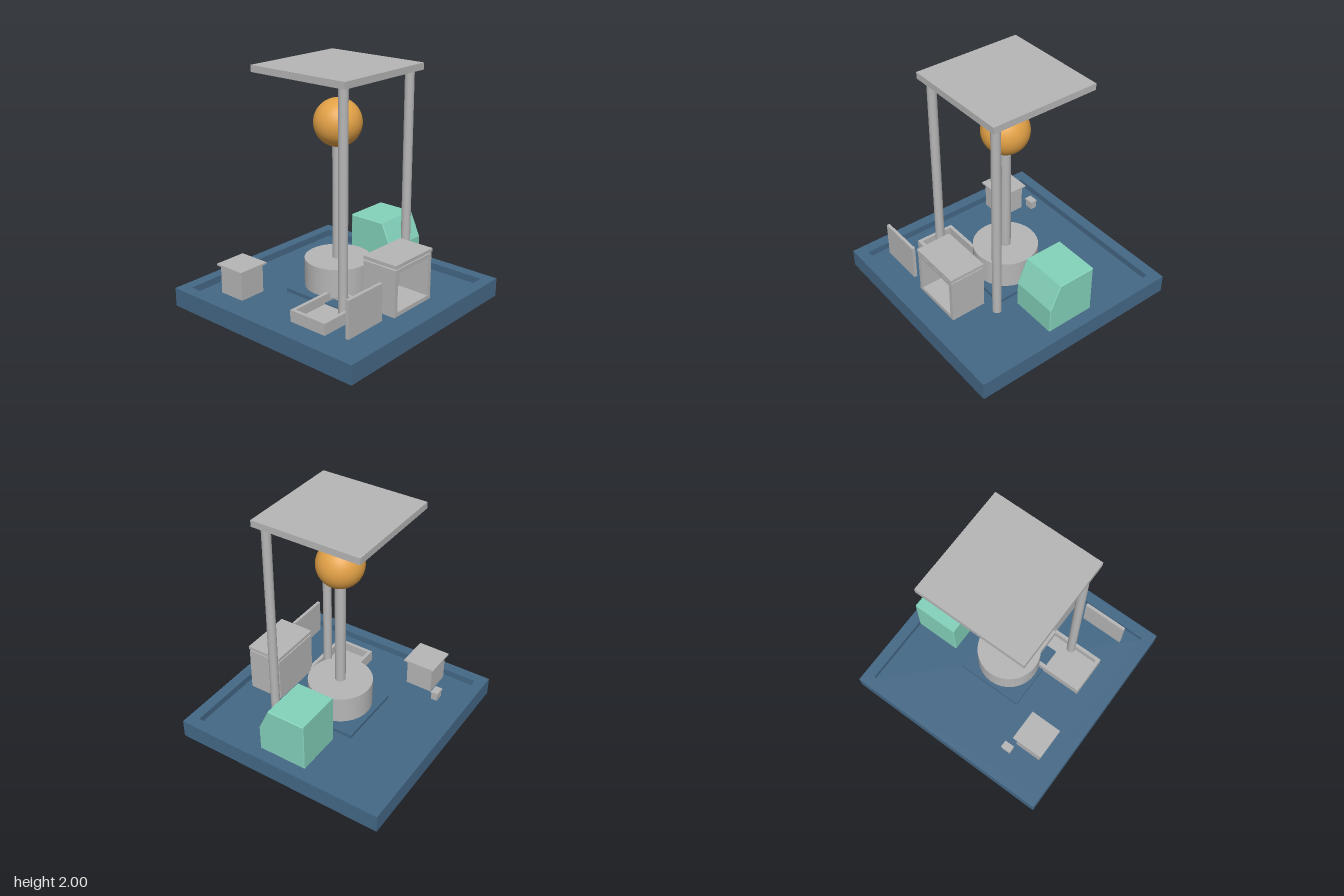
import * as THREE from 'three';

const material = (name, color) => {
  const m = new THREE.MeshStandardMaterial({ color });
  m.name = name;
  return m;
};

export function createModel() {
  const model = new THREE.Group();
  model.name = 'pavilionDiorama';

  const blue = material('slate blue', 0x446886);
  const grey = material('light grey', 0xb6b6b6);
  const orange = material('amber', 0xe2a146);
  const green = material('mint green', 0x84d2bb);

  const add = (name, geometry, mat, parent = model) => {
    const mesh = new THREE.Mesh(geometry, mat);
    mesh.name = name;
    parent.add(mesh);
    return mesh;
  };
  const group = (name) => {
    const g = new THREE.Group();
    g.name = name;
    model.add(g);
    return g;
  };
  // Box given by its minimum and maximum on each axis
  const box = (name, [x0, x1], [y0, y1], [z0, z1], mat, parent) => {
    const g = new THREE.BoxGeometry(x1 - x0, y1 - y0, z1 - z0);
    g.translate((x0 + x1) / 2, (y0 + y1) / 2, (z0 + z1) / 2);
    return add(name, g, mat, parent);
  };
  // Upright round post standing between two heights
  const post = (name, r, x, z, y0, y1, mat, parent) => {
    const g = new THREE.CylinderGeometry(r, r, y1 - y0, 32);
    g.translate(x, (y0 + y1) / 2, z);
    return add(name, g, mat, parent);
  };
  const rect = (Type, x0, x1, y0, y1) => {
    const s = new Type();
    s.moveTo(x0, y0);
    s.lineTo(x1, y0);
    s.lineTo(x1, y1);
    s.lineTo(x0, y1);
    s.closePath();
    return s;
  };
  // Rectangular frame of even wall thickness, extruded along +z
  const frame = (x0, x1, y0, y1, wall, depth) => {
    const s = rect(THREE.Shape, x0, x1, y0, y1);
    s.holes.push(rect(THREE.Path, x0 + wall, x1 - wall, y0 + wall, y1 - wall));
    return new THREE.ExtrudeGeometry(s, { depth, bevelEnabled: false });
  };
  // The same frame lying flat with its bottom at the given height
  const flatFrame = (x0, x1, z0, z1, wall, y0, y1) =>
    frame(x0, x1, -z1, -z0, wall, y1 - y0).rotateX(-Math.PI / 2).translate(0, y0, 0);

  // Base with a recessed floor
  const base = group('base');
  box('baseFloor', [-0.945, 0.945], [0, 0.1], [-0.945, 0.945], blue, base);
  add('baseRim', flatFrame(-0.945, 0.945, -0.945, 0.945, 0.095, 0.1, 0.16), blue, base);
  box('centrePlate', [-0.3, 0.3], [0.1, 0.13], [-0.3, 0.3], blue, base);

  // Pedestal, column and ball
  const monument = group('monument');
  post('pedestal', 0.275, 0, 0, 0.16, 0.4, grey, monument);
  post('column', 0.045, 0, 0, 0.4, 1.35, grey, monument);
  add('ball', new THREE.SphereGeometry(0.195, 48, 32), orange, monument).position.y = 1.54;

  // Canopy on two posts
  const canopy = group('canopy');
  box('roof', [-0.47, 0.47], [1.945, 2], [-0.47, 0.47], grey, canopy);
  for (const side of [-1, 1]) {
    post('roofPost', 0.038, side * 0.393, 0.393, 0.16, 1.945, grey, canopy);
  }

  // Low open tray
  const tray = group('tray');
  add('trayWalls', flatFrame(-0.67, -0.17, 0.095, 0.45, 0.03, 0.1, 0.2), grey, tray);
  box('trayFloor', [-0.64, -0.2], [0.1, 0.12], [0.125, 0.42], grey, tray);

  // Open-fronted cabinet with a raised lid
  const cabinet = group('cabinet');
  add('cabinetShell', frame(-0.195, 0.27, 0.16, 0.553, 0.036, 0.28), grey, cabinet).position.z = 0.46;
  box('cabinetBack', [-0.195, 0.27], [0.16, 0.553], [0.43, 0.46], grey, cabinet);
  box('cabinetLid', [-0.197, 0.273], [0.566, 0.595], [0.43, 0.746], grey, cabinet);

  // Upright panel
  box('panel', [-0.71, -0.32], [0.178, 0.492], [0.69, 0.717], grey);

  // Small table and small block at the back
  const table = group('table');
  box('tableBody', [-0.75, -0.515], [0.16, 0.4], [-0.593, -0.357], grey, table);
  box('tableTop', [-0.773, -0.49], [0.4, 0.415], [-0.615, -0.335], grey, table);
  const block = group('smallBlock');
  box('blockBody', [-0.515, -0.435], [0.16, 0.225], [-0.697, -0.643], grey, block);
  box('blockTop', [-0.52, -0.43], [0.225, 0.24], [-0.702, -0.638], grey, block);

  // Booth with a sloping front and slightly eased edges
  const b = 0.006;
  const profile = new THREE.Shape();
  [[0.215, 0.16], [0.215, 0.385], [0.12, 0.595], [-0.215, 0.595], [-0.215, 0.16]]
    .forEach(([z, y], i) => (i ? profile.lineTo(-z, y) : profile.moveTo(-z, y)));
  profile.closePath();
  const booth = new THREE.ExtrudeGeometry(profile, {
    depth: 0.41 - 2 * b, bevelEnabled: true, bevelSize: b, bevelOffset: -b,
    bevelThickness: b, bevelSegments: 1,
  });
  booth.rotateY(Math.PI / 2).translate(0.43 + b, 0, 0);
  add('booth', booth, green);

  return model;
}
